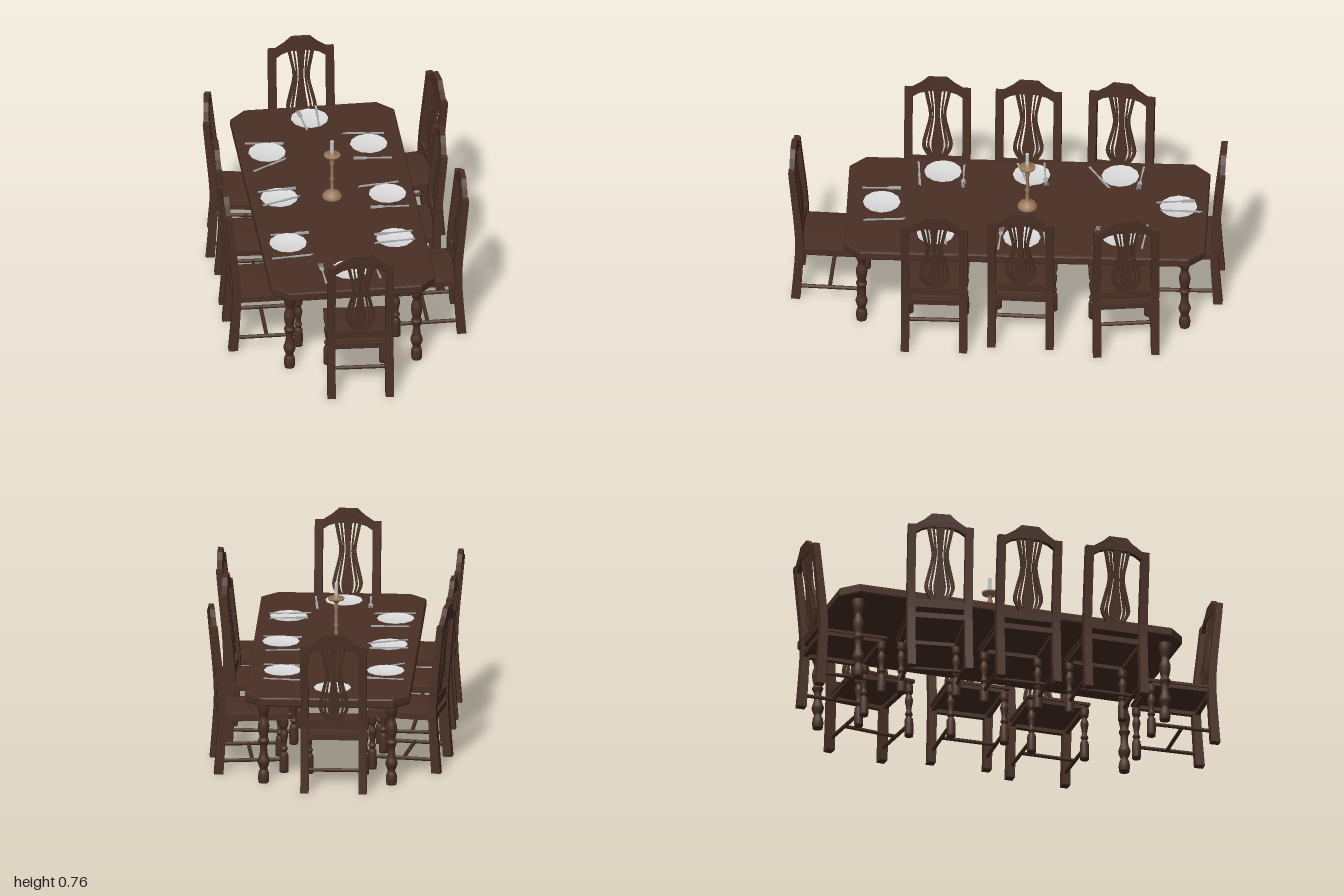
import * as THREE from 'three';

const mat = (name, color) => Object.assign(new THREE.MeshStandardMaterial({ color }), { name });
const wood = mat('dark wood', 0x4a3025);
const china = mat('white china', 0xdcdcdc);
const steel = mat('steel', 0xa4a6a8);
const brass = mat('aged brass', 0x9a785a);
const wax = mat('candle wax', 0xcfd0d2);

const V = (x, y) => new THREE.Vector2(x, y);
const TABLE_Y = 0.433;

function add(parent, name, geometry, material, x = 0, y = 0, z = 0) {
  const mesh = new THREE.Mesh(geometry, material);
  mesh.name = name;
  mesh.position.set(x, y, z);
  parent.add(mesh);
  return mesh;
}

const lathe = (pts, segments = 14) => new THREE.LatheGeometry(pts.map(p => V(p[0], p[1])), segments);

// Turned leg: smooth spline through [radius, height] pairs, closed at both ends
function turned(pairs) {
  const curve = new THREE.SplineCurve(pairs.map(p => V(p[0], p[1])));
  const pts = curve.getPoints(pairs.length * 3).map(p => [p.x, p.y]);
  return lathe([[0, pts[0][1]], ...pts, [0, pts[pts.length - 1][1]]]);
}

const extrude = (shape, depth, extra = {}) =>
  new THREE.ExtrudeGeometry(shape, { depth, bevelEnabled: false, curveSegments: 8, ...extra });

// Depth of the chair back's centre line at a given height
const backLine = new THREE.SplineCurve([
  V(0.035, 0), V(0.045, 0.14), V(0.052, 0.28), V(0.046, 0.4), V(0.03, 0.56), V(0.016, 0.7), V(0.013, 0.76)]);
const backPoints = backLine.getPoints(60);
function backDepth(y) {
  const i = Math.max(1, backPoints.findIndex(p => p.y >= y - 1e-6));
  const a = backPoints[i - 1], b = backPoints[i];
  return a.x + (b.x - a.x) * (y - a.y) / (b.y - a.y);
}

// Flat panel in x and y, bent to follow the chair back
function bentPanel(shape, thickness) {
  const g = extrude(shape, thickness);
  const p = g.attributes.position;
  for (let i = 0; i < p.count; i++) p.setZ(i, p.getZ(i) - thickness / 2 + backDepth(p.getY(i)));
  g.computeVertexNormals();
  return g;
}

// Ribbon around a centre line of [x, y, half width]
function ribbon(rows) {
  const side = s => new THREE.SplineCurve(rows.map(([x, y, w]) => V(x + s * w, y))).getPoints(18);
  return new THREE.Shape([...side(1), ...side(-1).reverse()]);
}

function postGeometry() {
  const ys = Array.from({ length: 15 }, (_, i) => i * 0.05);
  const half = y => 0.021 - 0.009 * y;
  const front = ys.map(y => V(backDepth(y) + half(y), y));
  const rear = ys.map(y => V(backDepth(y) - half(y), y)).reverse();
  return extrude(new THREE.Shape([...front, ...rear]), 0.037).rotateY(-Math.PI / 2).translate(0.0185, 0, 0);
}

// Seat slab with a gently domed top
function seatGeometry() {
  const g = new THREE.BoxGeometry(0.296, 0.018, 0.30, 10, 1, 10);
  const p = g.attributes.position;
  for (let i = 0; i < p.count; i++) {
    const u = p.getX(i) / 0.148, v = p.getZ(i) / 0.15;
    if (p.getY(i) > 0) p.setY(i, 0.004 + 0.011 * (1 - u * u * u * u) * (1 - v * v));
  }
  g.computeVertexNormals();
  return g;
}

const rod = (length, r) => new THREE.CylinderGeometry(r, r, length, 8);
const crest = new THREE.Shape([
  V(-0.118, 0.66), V(-0.118, 0.70), V(-0.10, 0.712), V(-0.075, 0.728), V(-0.042, 0.758), V(0.042, 0.758),
  V(0.075, 0.728), V(0.10, 0.712), V(0.118, 0.70), V(0.118, 0.66), V(0.085, 0.682), V(0.045, 0.694),
  V(-0.045, 0.694), V(-0.085, 0.682)]);
const rail = new THREE.Shape([V(-0.118, 0.303), V(0.118, 0.303), V(0.118, 0.343), V(-0.118, 0.343)]);
const chairParts = {
  post: postGeometry(),
  crest: bentPanel(crest, 0.024),
  rail: bentPanel(rail, 0.022),
  vase: bentPanel(ribbon([[0, 0.335, 0.015], [0, 0.37, 0.022], [0, 0.41, 0.028], [0, 0.46, 0.021],
    [0, 0.55, 0.011], [0, 0.62, 0.013], [0, 0.70, 0.02]]), 0.014),
  seat: seatGeometry(),
  leg: turned([[0.02, 0], [0.021, 0.04], [0.019, 0.085], [0.011, 0.095], [0.018, 0.11], [0.012, 0.125],
    [0.014, 0.15], [0.019, 0.18], [0.012, 0.205], [0.019, 0.22], [0.02, 0.255]]),
};
const ribGeometry = s => [
  bentPanel(ribbon([[0.024 * s, 0.335, 0.008], [0.048 * s, 0.37, 0.008], [0.062 * s, 0.41, 0.008], [0.05 * s, 0.47, 0.008],
    [0.032 * s, 0.56, 0.007], [0.044 * s, 0.64, 0.007], [0.056 * s, 0.70, 0.008]]), 0.014),
  bentPanel(ribbon([[0.014 * s, 0.335, 0.005], [0.033 * s, 0.37, 0.005], [0.042 * s, 0.41, 0.005], [0.033 * s, 0.47, 0.005],
    [0.02 * s, 0.56, 0.004], [0.026 * s, 0.64, 0.004], [0.034 * s, 0.70, 0.004]]), 0.012)];
const ribs = [...ribGeometry(1), ...ribGeometry(-1)];

// Chair facing +z with its back at the local origin
function makeChair() {
  const c = new THREE.Group();
  c.name = 'chair';
  for (const s of [1, -1]) {
    add(c, 'backPost', chairParts.post, wood, s * 0.133);
    add(c, 'frontLeg', chairParts.leg, wood, s * 0.127, 0, 0.335);
    add(c, 'sideRail', new THREE.BoxGeometry(0.022, 0.026, 0.28), wood, s * 0.13, 0.262, 0.195);
    add(c, 'sideStretcher', rod(0.29, 0.009), wood, s * 0.129, 0.06, 0.19).rotation.x = Math.PI / 2;
  }
  add(c, 'crossStretcher', rod(0.258, 0.009), wood, 0, 0.06, 0.19).rotation.z = Math.PI / 2;
  add(c, 'frontRail', new THREE.BoxGeometry(0.25, 0.026, 0.022), wood, 0, 0.262, 0.337);
  add(c, 'rearRail', new THREE.BoxGeometry(0.24, 0.026, 0.022), wood, 0, 0.262, 0.05);
  add(c, 'seat', chairParts.seat, wood, 0, 0.276, 0.206);
  add(c, 'crestRail', chairParts.crest, wood);
  add(c, 'lowerBackRail', chairParts.rail, wood);
  add(c, 'splat', chairParts.vase, wood);
  ribs.forEach(g => add(c, 'splatRib', g, wood));
  return c;
}

function makeTable() {
  const t = new THREE.Group();
  t.name = 'table';
  const w = 0.367, l = 0.814, k = 0.067;
  const top = new THREE.Shape([V(w - k, -l), V(w, k - l), V(w, l - k), V(w - k, l),
    V(k - w, l), V(-w, l - k), V(-w, k - l), V(k - w, -l)]);
  const g = extrude(top, 0.03, { bevelEnabled: true, bevelThickness: 0.008, bevelSize: 0.01, bevelSegments: 2 });
  add(t, 'tableTop', g.rotateX(-Math.PI / 2), wood, 0, 0.395, 0);
  const leg = turned([[0.023, 0], [0.026, 0.025], [0.023, 0.05], [0.017, 0.065], [0.024, 0.085], [0.028, 0.105],
    [0.019, 0.135], [0.017, 0.175], [0.026, 0.2], [0.019, 0.215], [0.024, 0.245], [0.026, 0.275], [0.018, 0.305],
    [0.018, 0.32], [0.027, 0.35], [0.028, 0.39]]);
  for (const x of [-0.292, 0.292]) for (const z of [-0.73, 0.745]) add(t, 'tableLeg', leg, wood, x, 0, z);
  t.position.z = -0.09;
  return t;
}

// Scalloped plate
function plateGeometry() {
  const g = lathe([[0, 0], [0.05, 0], [0.083, 0.01], [0.085, 0.012], [0.056, 0.005], [0, 0.004]], 48);
  const p = g.attributes.position;
  for (let i = 0; i < p.count; i++) {
    const x = p.getX(i), z = p.getZ(i), r = Math.hypot(x, z);
    if (r < 0.08) continue;
    const f = 0.97 + 0.035 * Math.abs(Math.cos(6 * Math.atan2(z, x)));
    p.setX(i, x * f);
    p.setZ(i, z * f);
  }
  g.computeVertexNormals();
  return g;
}

const flat = shape => extrude(shape, 0.004).rotateX(-Math.PI / 2);
const knife = flat(new THREE.Shape([V(-0.095, -0.005), V(-0.01, -0.003), V(0, -0.006), V(0.085, -0.006),
  V(0.097, 0.004), V(0, 0.005), V(-0.01, 0.003), V(-0.095, 0.005)]));
const tines = [];
for (let i = 0; i < 4; i++) {
  const y = -0.0095 + i * 0.0055;
  tines.push(V(0.05, y), V(0.088, y), V(0.088, y + 0.003), V(0.05, y + 0.003));
}
const fork = flat(new THREE.Shape([V(-0.088, -0.005), V(0.02, -0.0025), V(0.035, -0.0095), ...tines,
  V(0.035, 0.0095), V(0.02, 0.0025), V(-0.088, 0.005)]));

// Each setting: plate x, z; fork handle and tip x, z; knife handle and tip x, z; cutlery lift
const settings = [
  [-0.02, -0.78, -0.045, -0.68, -0.065, -0.85, 0.015, -0.71, 0.02, -0.88, 0.012],
  [-0.25, -0.505, -0.34, -0.61, -0.16, -0.59, -0.33, -0.36, -0.165, -0.46, 0],
  [0.22, -0.525, 0.31, -0.405, 0.14, -0.42, 0.305, -0.625, 0.11, -0.645, 0],
  [-0.245, -0.10, -0.335, -0.155, -0.16, -0.17, -0.335, -0.03, -0.14, -0.10, 0.012],
  [0.25, -0.075, 0.335, 0.03, 0.16, 0.02, 0.32, -0.19, 0.12, -0.165, 0],
  [-0.255, 0.305, -0.32, 0.21, -0.15, 0.21, -0.345, 0.42, -0.15, 0.405, 0],
  [0.235, 0.32, 0.32, 0.27, 0.145, 0.285, 0.32, 0.345, 0.14, 0.36, 0.012],
  [-0.005, 0.575, -0.125, 0.66, -0.13, 0.5, 0.127, 0.65, 0.11, 0.465, 0]];

function makeCandlestick() {
  const c = new THREE.Group();
  c.name = 'candlestick';
  add(c, 'candlestickBody', lathe([[0, 0], [0.045, 0], [0.045, 0.012], [0.036, 0.026], [0.018, 0.038], [0.008, 0.046],
    [0.007, 0.09], [0.013, 0.1], [0.007, 0.11], [0.007, 0.17], [0.012, 0.185], [0.008, 0.2], [0.014, 0.212],
    [0.036, 0.22], [0.038, 0.228], [0.014, 0.224], [0.013, 0.24], [0, 0.24]], 20), brass);
  add(c, 'candle', rod(0.07, 0.0085), wax, 0, 0.265, 0);
  c.position.set(-0.003, TABLE_Y, -0.09);
  return c;
}

export function createModel() {
  const model = new THREE.Group();
  model.name = 'diningSet';
  model.add(makeTable(), makeCandlestick());

  // Chairs: back x, z and turn
  const chairs = [[-0.035, -1.0, 0], [-0.005, 0.99, 3.09], [-0.543, -0.505, 1.42], [-0.55, -0.077, 1.52],
    [-0.562, 0.34, 1.555], [0.555, -0.566, -1.45], [0.515, -0.077, -1.605], [0.56, 0.315, -1.575]];
  for (const [x, z, turn] of chairs) {
    const chair = makeChair();
    chair.position.set(x, 0, z);
    chair.rotation.y = turn;
    model.add(chair);
  }

  // Plates and cutlery
  const plate = plateGeometry();
  const lay = (name, geometry, x1, z1, x2, z2, lift) => {
    const m = add(model, name, geometry, steel, (x1 + x2) / 2, TABLE_Y + 0.001 + lift, (z1 + z2) / 2);
    m.rotation.y = Math.atan2(z1 - z2, x2 - x1);
  };
  for (const [px, pz, a, b, c, d, e, f, g, h, lift] of settings) {
    add(model, 'plate', plate, china, px, TABLE_Y + 0.001, pz);
    lay('fork', fork, a, b, c, d, lift);
    lay('knife', knife, e, f, g, h, lift);
  }
  return model;
}
